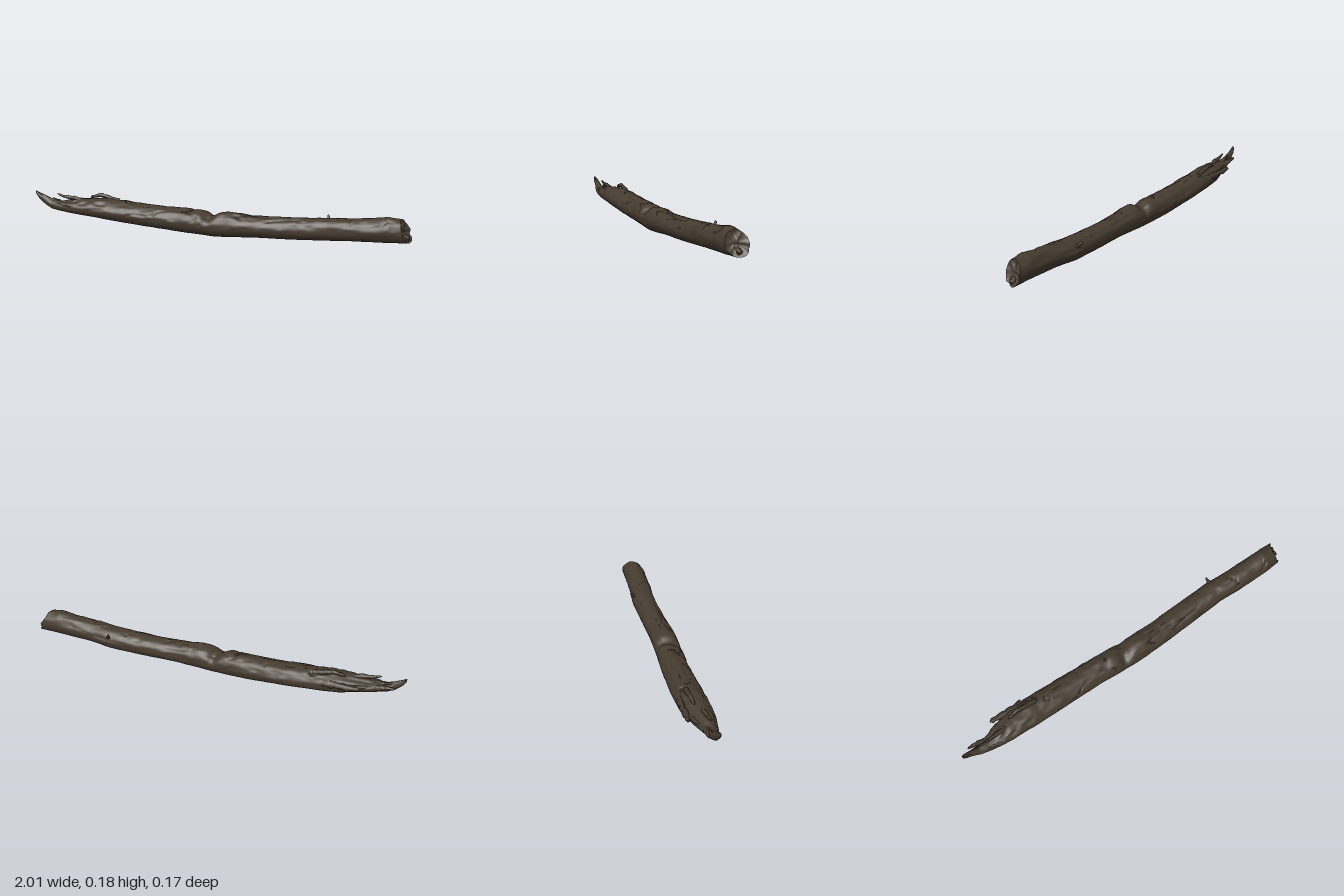
import * as THREE from 'three';

const bark = new THREE.MeshStandardMaterial({ color: 0x463c30 });
bark.name = 'dark brown bark';
const crack = new THREE.MeshStandardMaterial({ color: 0x2a231b });
crack.name = 'deep crack brown';
const wood = new THREE.MeshStandardMaterial({ color: 0x4b4136 });
wood.name = 'weathered end wood';

// Outline of the log: x, bottom, top, back z, front z
const stations = [
  [-1, 0.172, 0.188, 0.004, 0.016], [-0.985, 0.148, 0.18, -0.004, 0.02],
  [-0.95, 0.115, 0.162, -0.008, 0.022], [-0.91, 0.094, 0.145, -0.014, 0.034],
  [-0.86, 0.085, 0.138, -0.026, 0.044], [-0.8, 0.076, 0.145, -0.046, 0.054],
  [-0.74, 0.068, 0.15, -0.062, 0.06], [-0.68, 0.06, 0.156, -0.08, 0.062],
  [-0.6, 0.05, 0.158, -0.084, 0.065], [-0.4, 0.03, 0.146, -0.08, 0.066],
  [-0.2, 0.014, 0.137, -0.07, 0.067], [0, 0.004, 0.135, -0.056, 0.08],
  [0.08, 0.008, 0.139, -0.053, 0.083], [0.2, 0.016, 0.127, -0.05, 0.08],
  [0.4, 0.017, 0.13, -0.054, 0.072], [0.58, 0.022, 0.139, -0.058, 0.064],
  [0.7, 0.031, 0.147, -0.046, 0.074], [0.8, 0.035, 0.155, -0.043, 0.076],
  [0.9, 0.038, 0.167, -0.04, 0.077], [0.97, 0.04, 0.158, -0.037, 0.07],
];
const TAU = Math.PI * 2, COLS = 56, ROWS = 300;
const { lerp, smoothstep } = THREE.MathUtils;

function hash(i, j) {
  const s = Math.sin(i * 127.1 + j * 311.7) * 43758.5453;
  return s - Math.floor(s);
}
// Smooth noise, repeating around the log
function noise(u, v, period) {
  const i = Math.floor(u), j = Math.floor(v);
  const f = smoothstep(u - i, 0, 1), g = smoothstep(v - j, 0, 1);
  const h = (a, b) => hash(a, ((b % period) + period) % period);
  return lerp(lerp(h(i, j), h(i + 1, j), f), lerp(h(i, j + 1), h(i + 1, j + 1), f), g);
}
function outline(x) {
  let i = 0;
  while (i < stations.length - 2 && x > stations[i + 1][0]) i++;
  const p = stations[i], q = stations[i + 1];
  const t = (x - p[0]) / (q[0] - p[0]);
  return p.map((v, k) => lerp(v, q[k], t));
}
const torn = (x) => 1 - smoothstep(x, -0.8, -0.3);

// Narrow wandering cracks along the grain, mostly on the upper half
function crackDepth(x, a) {
  const n = noise(x * 5 + 40, (a / TAU) * 12 + 12, 12);
  const line = 1 - smoothstep(Math.abs(n - 0.5), 0.01, 0.06);
  const patch = smoothstep(noise(x * 9 + 7, (a / TAU) * 6, 6), 0.5, 0.7);
  return line * patch * smoothstep(Math.sin(a), -0.25, 0.4) * (0.45 + 0.55 * torn(x));
}

// One point on the bark surface
function surface(x, a) {
  const [, y0, y1, z0, z1] = outline(x);
  const s = Math.sin(a), c = Math.cos(a), v = a / TAU;
  const up = Math.max(0, s), rough = 0.35 + 0.65 * smoothstep(s, -0.5, 0.3);
  let k = 1 + rough * (0.09 * (noise(x * 6 + 50, v * 14, 14) - 0.5)
    + 0.06 * (noise(x * 26 + 90, v * 28, 28) - 0.5));
  k += torn(x) * up * 0.3 * (noise(x * 22 + 60, v * 18, 18) - 0.55);
  k -= 0.14 * crackDepth(x, a);
  // notch across the top near the middle
  const wide = 0.012 + 0.025 * up;
  k -= 0.36 * Math.exp(-(((x + 0.02 + 0.02 * c) / wide) ** 2)) * smoothstep(s, 0.1, 0.85);
  // slanted, ragged right-hand end
  const end = smoothstep(x, 0.8, 0.97);
  const dx = end * (0.004 - 0.02 * s - 0.016 * c + 0.014 * (noise(3, v * 16, 16) - 0.5));
  return new THREE.Vector3(x + dx,
    (y0 + y1) / 2 + ((y1 - y0) / 2) * s * k,
    (z0 + z1) / 2 + ((z1 - z0) / 2) * c * k);
}

function makeLog() {
  const pos = [], plain = [], dark = [];
  for (let i = 0; i <= ROWS; i++) {
    const x = lerp(-1, 0.97, i / ROWS);
    for (let j = 0; j < COLS; j++) pos.push(...surface(x, (j / COLS) * TAU).toArray());
  }
  for (let i = 0; i < ROWS; i++) {
    const x = lerp(-1, 0.97, (i + 0.5) / ROWS);
    for (let j = 0; j < COLS; j++) {
      const n = (j + 1) % COLS, a = i * COLS + j, b = i * COLS + n;
      const list = crackDepth(x, ((j + 0.5) / COLS) * TAU) > 0.4 ? dark : plain;
      list.push(a, a + COLS, b + COLS, a, b + COLS, b);
    }
  }
  // close the left tip
  for (let j = 1; j < COLS - 1; j++) plain.push(0, j, j + 1);
  const geo = new THREE.BufferGeometry();
  geo.setAttribute('position', new THREE.Float32BufferAttribute(pos, 3));
  geo.setIndex([...plain, ...dark]);
  geo.addGroup(0, plain.length, 0);
  geo.addGroup(plain.length, dark.length, 1);
  geo.computeVertexNormals();
  return new THREE.Mesh(geo, [bark, crack]);
}

// Hollowed, uneven face closing the right-hand end
function makeEnd() {
  const pos = [], index = [], fractions = [1, 0.9, 0.75, 0.55, 0.35, 0.15, 0.01];
  const centre = new THREE.Vector3(0.97, 0.1, 0.016);
  fractions.forEach((f, r) => {
    for (let j = 0; j < COLS; j++) {
      const p = surface(0.97, (j / COLS) * TAU).sub(centre).multiplyScalar(f).add(centre);
      const bump = noise(p.y * 45, p.z * 45 + 20, 1000) - 0.6;
      p.x += (1 - f ** 4) * (0.016 * bump - 0.005);
      pos.push(...p.toArray());
      if (r === 0) continue;
      const n = (j + 1) % COLS, a = (r - 1) * COLS + j, b = (r - 1) * COLS + n;
      index.push(a, a + COLS, b, b, a + COLS, b + COLS);
    }
  });
  // wind the face so that it looks along +x
  for (let i = 0; i < index.length; i += 3) {
    const [a, b, c] = index.slice(i, i + 3).map((k) => new THREE.Vector3().fromArray(pos, k * 3));
    if (b.sub(a).cross(c.sub(a)).x < 0) [index[i + 1], index[i + 2]] = [index[i + 2], index[i + 1]];
  }
  const geo = new THREE.BufferGeometry();
  geo.setAttribute('position', new THREE.Float32BufferAttribute(pos, 3));
  geo.setIndex(index);
  geo.computeVertexNormals();
  return new THREE.Mesh(geo, wood);
}

// Tapered sliver of wood along a path
function makeSliver(points, r0, r1) {
  const segs = 12, sides = 8;
  const curve = new THREE.CatmullRomCurve3(points.map((p) => new THREE.Vector3(...p)));
  const geo = new THREE.TubeGeometry(curve, segs, 1, sides);
  const p = geo.attributes.position, v = new THREE.Vector3();
  for (let i = 0; i < p.count; i++) {
    const ring = Math.floor(i / (sides + 1)), side = i % (sides + 1) % sides;
    const c = curve.getPointAt(ring / segs);
    const tip = ring === segs ? 0.05 : 1;
    const r = lerp(r0, r1, ring / segs) * tip * (0.75 + 0.5 * hash(ring, side));
    v.fromBufferAttribute(p, i).sub(c).multiplyScalar(r).add(c);
    p.setXYZ(i, v.x, v.y, v.z);
  }
  geo.computeVertexNormals();
  return new THREE.Mesh(geo, bark);
}

export function createModel() {
  const model = new THREE.Group();
  model.name = 'brokenLog';
  const add = (mesh, name) => { mesh.name = name; model.add(mesh); };
  add(makeLog(), 'log');
  add(makeEnd(), 'brokenEnd');

  // splinters at the torn left end and a twig stub on the back
  const slivers = [
    ['upperSplinter', [[-0.72, 0.135, 0], [-0.78, 0.156, 0.003], [-0.83, 0.162, 0.006], [-0.88, 0.176, 0.008]], 0.016, 0.004],
    ['backSplinter', [[-0.6, 0.12, -0.068], [-0.7, 0.122, -0.073], [-0.75, 0.125, -0.076], [-0.79, 0.13, -0.077]], 0.02, 0.011],
    ['innerSplinter', [[-0.66, 0.11, -0.045], [-0.75, 0.115, -0.048], [-0.82, 0.125, -0.034]], 0.022, 0.006],
    ['topRidge', [[-0.54, 0.143, -0.03], [-0.6, 0.161, -0.034], [-0.645, 0.172, -0.034], [-0.705, 0.158, -0.028]], 0.015, 0.007],
    ['tipSplinter', [[-0.84, 0.11, -0.012], [-0.9, 0.13, -0.022], [-0.955, 0.137, -0.025]], 0.018, 0.005],
    ['frontSplinter', [[-0.76, 0.12, 0.04], [-0.83, 0.125, 0.037], [-0.88, 0.13, 0.03]], 0.016, 0.005],
    ['twigStub', [[0.585, 0.1, -0.04], [0.58, 0.122, -0.06], [0.575, 0.138, -0.068]], 0.011, 0.005],
    ['endSplinter', [[0.93, 0.07, 0.01], [0.97, 0.066, 0.012], [0.998, 0.062, 0.01]], 0.022, 0.012],
  ];
  for (const [name, points, r0, r1] of slivers) add(makeSliver(points, r0, r1), name);
  return model;
}
